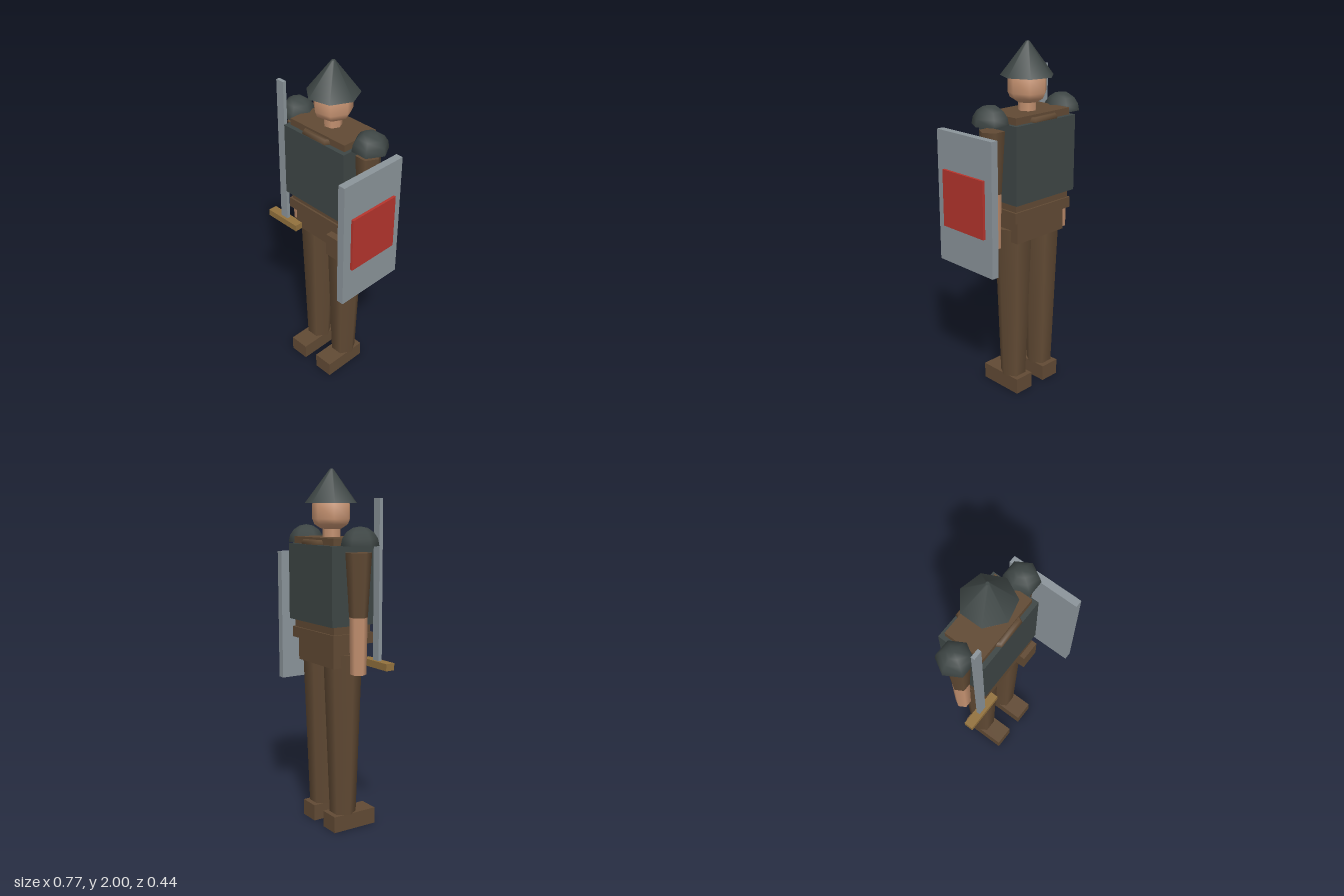
import * as THREE from 'three';

const material = (name, color, side = THREE.FrontSide) => {
  const m = new THREE.MeshStandardMaterial({ color, side });
  m.name = name;
  return m;
};

export function createModel() {
  const leather = material('brown leather', 0x614a34);
  const iron = material('dark iron', 0x3e4645, THREE.DoubleSide);
  const skin = material('skin', 0xc49170);
  const steel = material('steel', 0x8b949a);
  const brass = material('brass', 0x92713d);
  const red = material('red paint', 0xb5352d);

  const model = new THREE.Group();
  model.name = 'guard';
  const CX = -0.013, CZ = -0.077; // body axis

  const add = (name, geometry, mat, x = 0, y = 0, z = 0) => {
    const mesh = new THREE.Mesh(geometry, mat);
    mesh.name = name;
    mesh.position.set(x, y, z);
    model.add(mesh);
    return mesh;
  };
  // box given by its limits on each axis
  const box = (name, mat, [x0, x1], [y0, y1], [z0, z1]) =>
    add(name, new THREE.BoxGeometry(x1 - x0, y1 - y0, z1 - z0), mat,
      (x0 + x1) / 2, (y0 + y1) / 2, (z0 + z1) / 2);
  // tapered prism with a corner pointing to +x
  const taper = (name, mat, sides, rTop, rBottom, y0, y1, x) =>
    add(name, new THREE.CylinderGeometry(rTop, rBottom, y1 - y0, sides).rotateY(Math.PI / 2),
      mat, x, (y0 + y1) / 2, CZ);

  // Head, neck and pointed helmet
  taper('helmet', iron, 7, 0.01, 0.147, 1.82, 2, CX);
  const headProfile = [[0, 1.672], [0.06, 1.684], [0.095, 1.706], [0.107, 1.735],
    [0.107, 1.815], [0.07, 1.86], [0, 1.88]].map(([r, y]) => new THREE.Vector2(r, y));
  add('head', new THREE.LatheGeometry(headProfile, 7).rotateY(Math.PI / 2), skin, CX, 0, CZ);
  taper('neck', skin, 7, 0.05, 0.05, 1.62, 1.7, CX);

  // Torso, armour, belt and hips
  box('torso', leather, [-0.215, 0.188], [1.07, 1.638], [-0.195, 0.04]);
  box('breastplate', iron, [-0.238, 0.209], [1.175, 1.6], [-0.22, 0.066]);
  add('collar', new THREE.TorusGeometry(0.145, 0.022, 6, 6).rotateX(Math.PI / 2),
    leather, CX, 1.607, CZ);
  box('belt', leather, [-0.227, 0.2], [1.07, 1.13], [-0.205, 0.051]);
  box('hips', leather, [-0.193, 0.167], [0.942, 1.07], [-0.185, 0.03]);
  box('pouch', leather, [0.096, 0.213], [0.917, 1.053], [0, 0.077]);

  // Limbs on both sides
  for (const [label, s] of [['left', 1], ['right', -1]]) {
    const arm = CX + s * 0.259, leg = CX + s * 0.108;
    taper(label + 'Leg', leather, 6, 0.107, 0.074, 0.09, 1.01, leg);
    box(label + 'Foot', leather, [leg - 0.06, leg + 0.06], [0, 0.093], [-0.17, 0.103]);
    taper(label + 'UpperArm', leather, 6, 0.07, 0.05, 1.225, 1.565, arm);
    taper(label + 'Forearm', skin, 6, 0.049, 0.044, 0.917, 1.225, arm);
    add(label + 'Pauldron',
      new THREE.SphereGeometry(0.101, 6, 4, 0, Math.PI * 2, 0, Math.PI / 2),
      iron, CX + s * 0.271, 1.6, CZ);
  }

  // Sword in the right hand
  box('swordBlade', steel, [-0.295, -0.243], [0.98, 1.845], [0.04, 0.061]);
  box('swordGuard', brass, [-0.385, -0.153], [0.941, 0.98], [0.025, 0.078]);

  // Shield on the left arm with a painted panel
  box('shield', steel, [0.326, 0.369], [0.803, 1.547], [-0.204, 0.221]);
  box('shieldPanel', red, [0.369, 0.384], [1.015, 1.336], [-0.151, 0.168]);

  return model;
}
